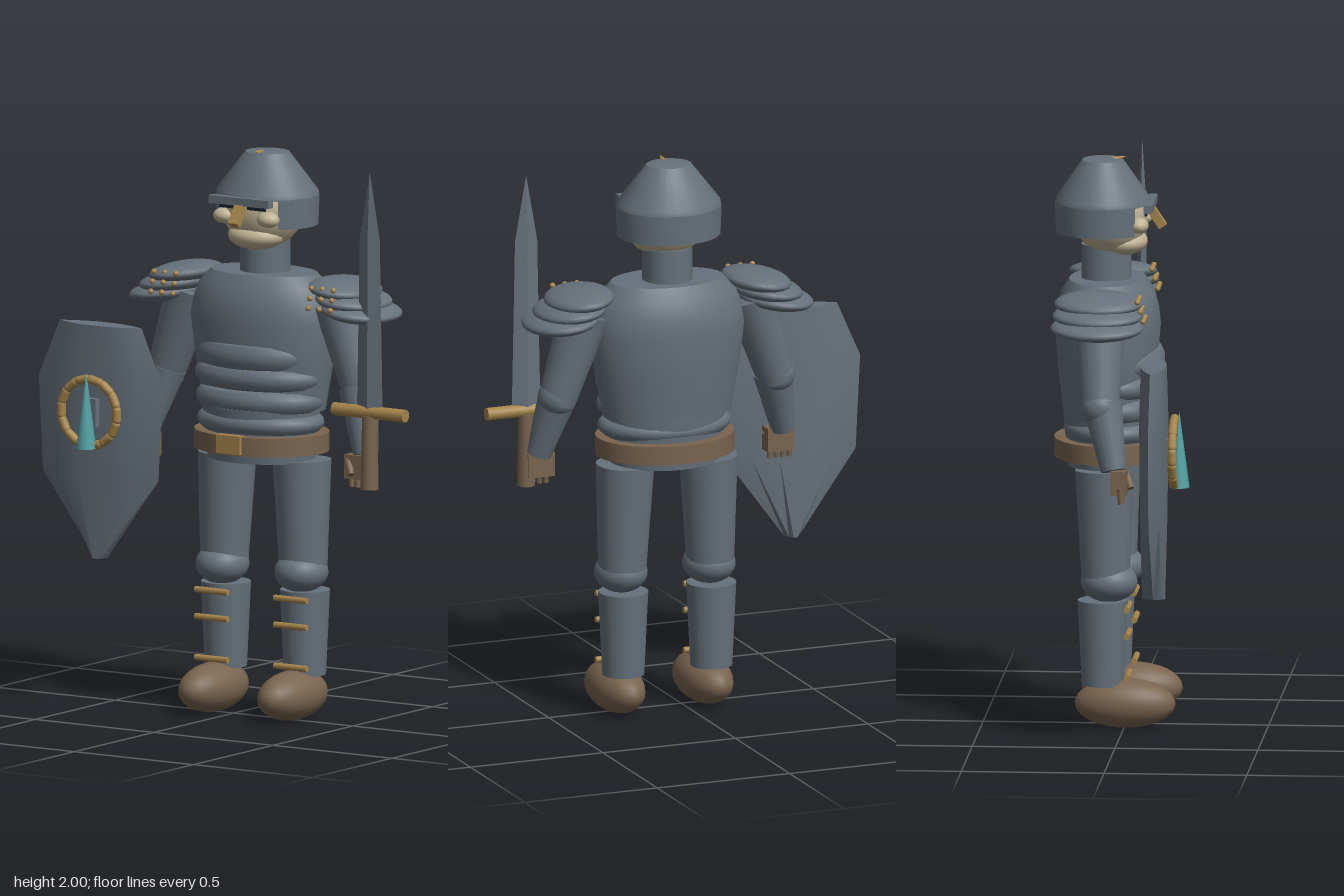
import * as THREE from 'three';
import { toCreasedNormals } from 'three/addons/utils/BufferGeometryUtils.js';

const paint = (name, color) => Object.assign(new THREE.MeshStandardMaterial({ color }), { name });
const steel = paint('steel', 0x66717b);
const leather = paint('leather', 0x79644f);
const gold = paint('gold', 0xa5844c);
const skin = paint('skin', 0xbfb294);
const teal = paint('teal', 0x55a2a4);
const dark = paint('dark', 0x1a2030);
const shell = paint('steel shell', 0x66717b);
shell.side = THREE.DoubleSide;

const V = (x, y, z) => new THREE.Vector3(x, y, z);

function add(parent, name, geo, mat, x = 0, y = 0, z = 0) {
  const m = new THREE.Mesh(geo, mat);
  m.name = name;
  m.position.set(x, y, z);
  parent.add(m);
  return m;
}

const ball = (p, name, mat, x, y, z, rx, ry = rx, rz = rx) => {
  const m = add(p, name, new THREE.SphereGeometry(1, 24, 16), mat, x, y, z);
  m.scale.set(rx, ry, rz);
  return m;
};

const box = (p, name, mat, x, y, z, w, h, d) => add(p, name, new THREE.BoxGeometry(w, h, d), mat, x, y, z);

// Tapered cylinder from point a to point b
function rod(p, name, mat, a, b, ra, rb = ra, sides = 20) {
  const d = b.clone().sub(a);
  const m = add(p, name, new THREE.CylinderGeometry(rb, ra, d.length(), sides), mat);
  m.position.copy(a).add(b).multiplyScalar(0.5);
  m.quaternion.setFromUnitVectors(V(0, 1, 0), d.normalize());
  return m;
}

// Elliptical turned part; profile runs upwards as [radius, y]
function turned(p, name, mat, profile, depth, z, from = 0, sweep = Math.PI * 2) {
  const pts = profile.map(([r, y]) => new THREE.Vector2(r, y));
  const g = new THREE.LatheGeometry(pts, 32, from, sweep);
  g.scale(1, 1, depth);
  return add(p, name, toCreasedNormals(g, 0.6), mat, 0, 0, z);
}

// Loft of one section over rows of [y, half width, half thickness]
function loft(rows, section, crease) {
  const pos = [], n = section.length;
  const at = (i, j) => {
    const [y, w, t] = rows[i], [u, v] = section[j % n];
    return [u * w, y, v * t];
  };
  const top = rows.length - 1;
  for (let j = 0; j < n; j++) {
    for (let i = 0; i < top; i++) {
      pos.push(...at(i, j), ...at(i + 1, j), ...at(i, j + 1));
      pos.push(...at(i, j + 1), ...at(i + 1, j), ...at(i + 1, j + 1));
    }
    pos.push(0, rows[0][0], 0, ...at(0, j), ...at(0, j + 1));
    pos.push(0, rows[top][0], 0, ...at(top, j + 1), ...at(top, j));
  }
  const g = new THREE.BufferGeometry();
  g.setAttribute('position', new THREE.Float32BufferAttribute(pos, 3));
  g.computeVertexNormals();
  return toCreasedNormals(g, crease);
}

function buildHead(body) {
  const head = new THREE.Group();
  head.name = 'head';
  body.add(head);
  rod(head, 'neck', steel, V(0, 1.55, -0.075), V(0, 1.69, -0.075), 0.088);
  ball(head, 'face', skin, 0, 1.79, -0.06, 0.15, 0.14, 0.13);
  ball(head, 'jaw', skin, 0, 1.70, -0.02, 0.105, 0.05, 0.09);
  turned(head, 'helmetDome', shell, [[0.188, 1.835], [0.184, 1.855], [0.08, 1.988], [0, 2]], 0.89, -0.088);
  turned(head, 'helmetSkirt', shell, [[0.184, 1.735], [0.188, 1.84]], 0.89, -0.088, 0.74, Math.PI * 2 - 1.48);
  box(head, 'visorBar', steel, 0, 1.832, 0.08, 0.25, 0.028, 0.03);
  const nose = box(head, 'noseGuard', gold, 0, 1.79, 0.098, 0.036, 0.09, 0.03);
  nose.rotation.x = -0.6;
  const crest = add(head, 'crestStud', new THREE.ConeGeometry(0.018, 0.05, 6), gold, 0, 1.99, -0.03);
  crest.rotation.x = 1.2;
  for (const s of [-1, 1]) {
    ball(head, 'cheek', skin, s * 0.092, 1.77, 0.045, 0.042, 0.028, 0.035);
    box(head, 'eyeSlit', dark, s * 0.06, 1.812, 0.07, 0.075, 0.018, 0.008);
  }
}

function buildTorso(body) {
  turned(body, 'breastplate', steel, [[0, 1.09], [0.236, 1.09], [0.265, 1.25], [0.285, 1.4],
    [0.276, 1.46], [0.25, 1.525], [0.205, 1.57], [0, 1.57]], 0.65, -0.07);
  turned(body, 'hips', steel, [[0, 0.91], [0.2, 0.91], [0.22, 1.1], [0, 1.1]], 0.8, -0.05);
  // Overlapping belly plates: [y, radius, half height, depth ratio, z]
  const plates = [[1.285, 0.232, 0.05, 0.67, -0.025], [1.207, 0.252, 0.043, 0.69, -0.045],
    [1.125, 0.246, 0.043, 0.71, -0.045], [1.045, 0.241, 0.036, 0.74, -0.045]];
  for (const [y, r, h, depth, z] of plates) {
    const arc = [-1, -0.8, -0.4, 0, 0.4, 0.8, 1].map(t => [r - 0.05 * (1 - Math.sqrt(1 - t * t)), y + t * h]);
    turned(body, 'bellyPlate', steel, [[0, y - h], ...arc, [0, y + h]], depth, z);
  }
  turned(body, 'belt', leather, [[0, 0.943], [0.25, 0.943], [0.25, 1.01], [0, 1.01]], 0.82, -0.052);
  box(body, 'buckle', gold, 0, 0.982, 0.146, 0.1, 0.065, 0.03);
}

function buildLeg(body, s) {
  const leg = new THREE.Group();
  leg.name = s > 0 ? 'leftLeg' : 'rightLeg';
  body.add(leg);
  const x = s * 0.166;
  rod(leg, 'thigh', steel, V(x, 0.52, -0.065), V(s * 0.157, 0.915, -0.07), 0.084, 0.103);
  ball(leg, 'kneeGuard', steel, x, 0.52, -0.053, 0.093, 0.072, 0.1);
  rod(leg, 'shin', steel, V(x, 0.155, -0.075), V(x, 0.455, -0.075), 0.074, 0.088);
  for (const y of [0.43, 0.335, 0.19])
    rod(leg, 'shinStrap', gold, V(x - 0.068, y, 0.014), V(x + 0.068, y, 0.014), 0.011, 0.011, 10);
  ball(leg, 'boot', leather, x, 0.09, 0.003, 0.091, 0.087, 0.177);
}

function buildArm(body, s) {
  const arm = new THREE.Group();
  arm.name = s > 0 ? 'leftArm' : 'rightArm';
  body.add(arm);
  // Layered shoulder plates
  for (let i = 0; i < 3; i++) {
    const plate = ball(arm, 'shoulderPlate', steel, s * (0.335 + i * 0.035), 1.535 - i * 0.037, -0.077,
      0.118 + i * 0.007, 0.037, 0.155 + i * 0.004);
    plate.rotation.z = -s * 0.12;
    for (let k = 0; k < 3; k++)
      ball(arm, 'rivet', gold, s * (0.285 + k * 0.046), 1.548 - i * 0.034, 0.062 + i * 0.01, 0.01);
  }
  rod(arm, 'upperArm', steel, V(s * 0.31, 1.48, -0.075), V(s * 0.415, 1.16, -0.065), 0.09, 0.066);
  ball(arm, 'elbow', steel, s * 0.412, 1.18, -0.065, 0.068);
  rod(arm, 'gauntlet', steel, V(s * 0.403, 1.19, -0.058), V(s * 0.462, 0.965, -0.015), 0.07, 0.044);
  // Hand with four fingers and a thumb
  box(arm, 'palm', leather, s * 0.452, 0.925, 0.005, 0.1, 0.085, 0.055);
  for (let k = 0; k < 4; k++) {
    const x = s * (0.422 + k * 0.025);
    rod(arm, 'finger', leather, V(x, 0.91, 0.01), V(x, 0.853, 0.014), 0.011, 0.01, 8);
  }
  rod(arm, 'thumb', leather, V(s * 0.41, 0.95, 0.02), V(s * 0.44, 0.9, 0.045), 0.016, 0.012, 8);
}

function buildSword() {
  const sword = new THREE.Group();
  sword.name = 'sword';
  const blade = loft([[1.12, 0.054, 0.017], [1.735, 0.042, 0.015], [1.967, 0.001, 0.001]],
    [[1, 0], [0, 1], [-1, 0], [0, -1]], 0.2);
  add(sword, 'blade', blade, steel, 0.58, 0, 0.012);
  rod(sword, 'crossguard', gold, V(0.43, 1.122, 0.012), V(0.73, 1.122, 0.012), 0.023, 0.023, 12);
  rod(sword, 'grip', leather, V(0.58, 0.85, 0.014), V(0.58, 1.11, 0.012), 0.032, 0.027, 12);
  return sword;
}

function buildShield() {
  const shield = new THREE.Group();
  shield.name = 'shield';
  shield.position.set(-0.47, 0, 0.133);
  const lens = [[1, 0], [0.65, 0.72], [0.3, 1], [-0.3, 1], [-0.65, 0.72], [-1, 0],
    [-0.65, -0.6], [-0.25, -1], [0.25, -1], [0.65, -0.6]];
  add(shield, 'shieldPlate', loft([[0.53, 0.028, 0.04], [0.82, 0.243, 0.043], [1.155, 0.26, 0.046],
    [1.355, 0.172, 0.042]], lens, 0.5), steel);
  // Beaded ring of short links around the spike
  const links = 14;
  for (let i = 0; i < links; i++) {
    const a = (i / links) * Math.PI * 2;
    const link = add(shield, 'ringLink', new THREE.CapsuleGeometry(0.016, 0.035, 4, 10), gold,
      Math.cos(a) * 0.116, 1.052 + Math.sin(a) * 0.116, 0.073);
    link.rotation.z = a;
  }
  add(shield, 'spike', new THREE.ConeGeometry(0.036, 0.27, 10), teal, 0, 1.062, 0.09);
  box(shield, 'mount', steel, 0, 1.05, 0.05, 0.05, 0.1, 0.04);
  return shield;
}

export function createModel() {
  const model = new THREE.Group();
  model.name = 'armouredKnight';
  const body = new THREE.Group();
  body.name = 'body';
  body.position.x = 0.083;
  model.add(body);
  buildHead(body);
  buildTorso(body);
  for (const s of [-1, 1]) {
    buildLeg(body, s);
    buildArm(body, s);
  }
  model.add(buildSword(), buildShield());
  return model;
}
